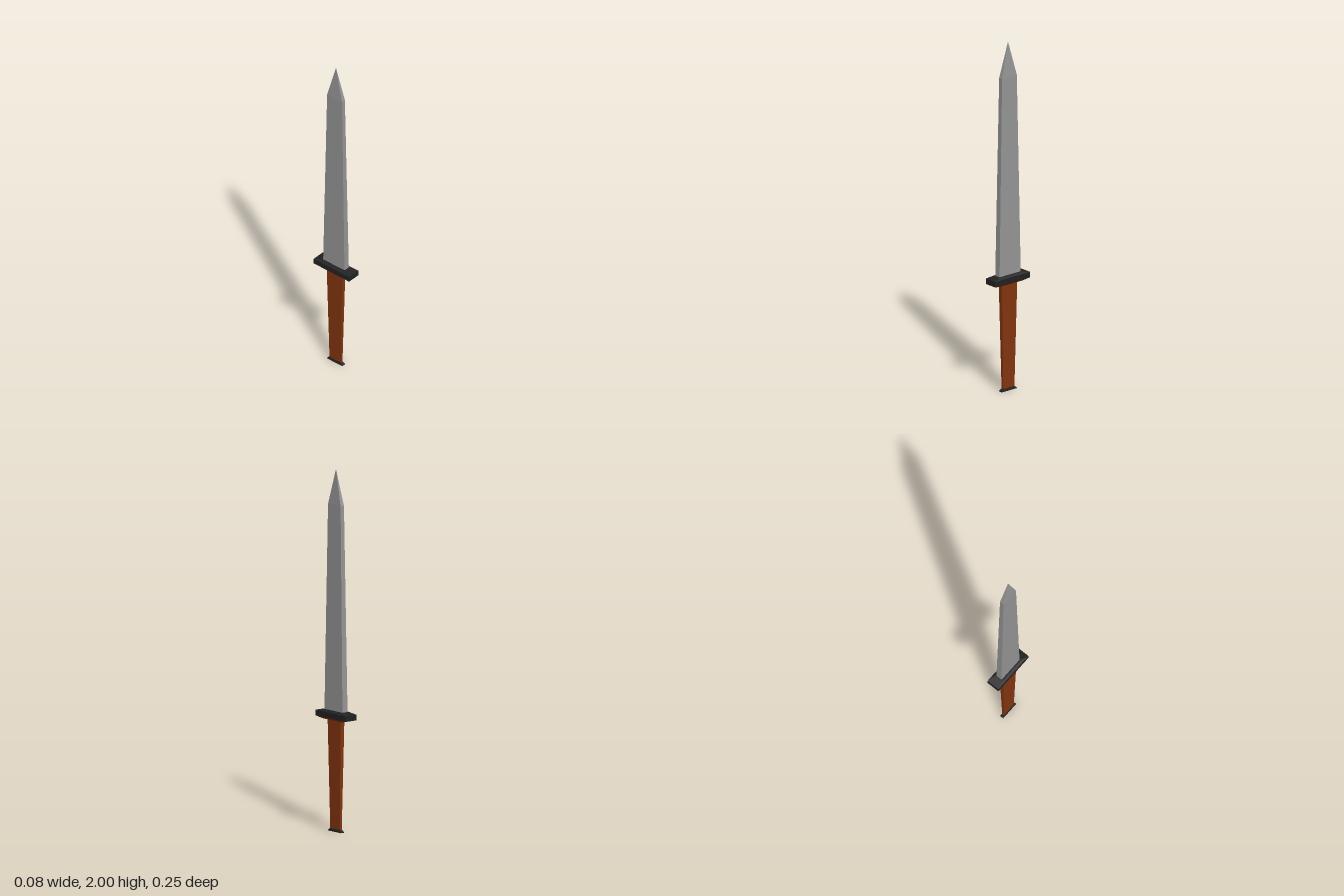
import * as THREE from 'three';

// Lofts rectangular sections [y, halfX, halfZ] into a closed, flat-shaded solid
function loft(name, sections, color) {
  const corners = [[1, 1], [1, -1], [-1, -1], [-1, 1]];
  const pos = [];
  const idx = [];
  for (const [y, hx, hz] of sections) {
    for (const [sx, sz] of corners) pos.push(sx * hx, y, sz * hz);
  }
  for (let s = 0; s < sections.length - 1; s++) {
    for (let i = 0; i < 4; i++) {
      const a = s * 4 + i, b = s * 4 + (i + 1) % 4;
      idx.push(a, b, b + 4);
      if (sections[s + 1][1] > 0) idx.push(a, b + 4, a + 4);
    }
  }
  // End caps
  const t = (sections.length - 1) * 4;
  idx.push(0, 2, 1, 0, 3, 2);
  if (sections[sections.length - 1][1] > 0) idx.push(t, t + 1, t + 2, t, t + 2, t + 3);

  const indexed = new THREE.BufferGeometry();
  indexed.setAttribute('position', new THREE.Float32BufferAttribute(pos, 3));
  indexed.setIndex(idx);
  const geometry = indexed.toNonIndexed();
  geometry.computeVertexNormals();
  const mesh = new THREE.Mesh(geometry, new THREE.MeshStandardMaterial({ color, flatShading: true }));
  mesh.name = name;
  return mesh;
}

export function createModel() {
  const group = new THREE.Group();
  group.name = 'dagger';
  const steel = 0x969696, black = 0x222222, wood = 0x843610;

  group.add(
    // Tapering blade ending in a four-sided point
    loft('blade', [[0.66, 0.018, 0.076], [1.8, 0.012, 0.053], [2, 0, 0]], steel),
    // Crossguard with a bevelled top
    loft('guard', [[0.627, 0.038, 0.126], [0.658, 0.038, 0.126], [0.668, 0.026, 0.08]], black),
    // Grip flaring out under the guard
    loft('grip', [[0.01, 0.007, 0.04], [0.615, 0.013, 0.055], [0.616, 0.026, 0.08], [0.627, 0.038, 0.126]], wood),
    // Small flared pommel
    loft('pommel', [[0, 0.011, 0.054], [0.004, 0.011, 0.054], [0.015, 0.008, 0.041]], black)
  );
  return group;
}
